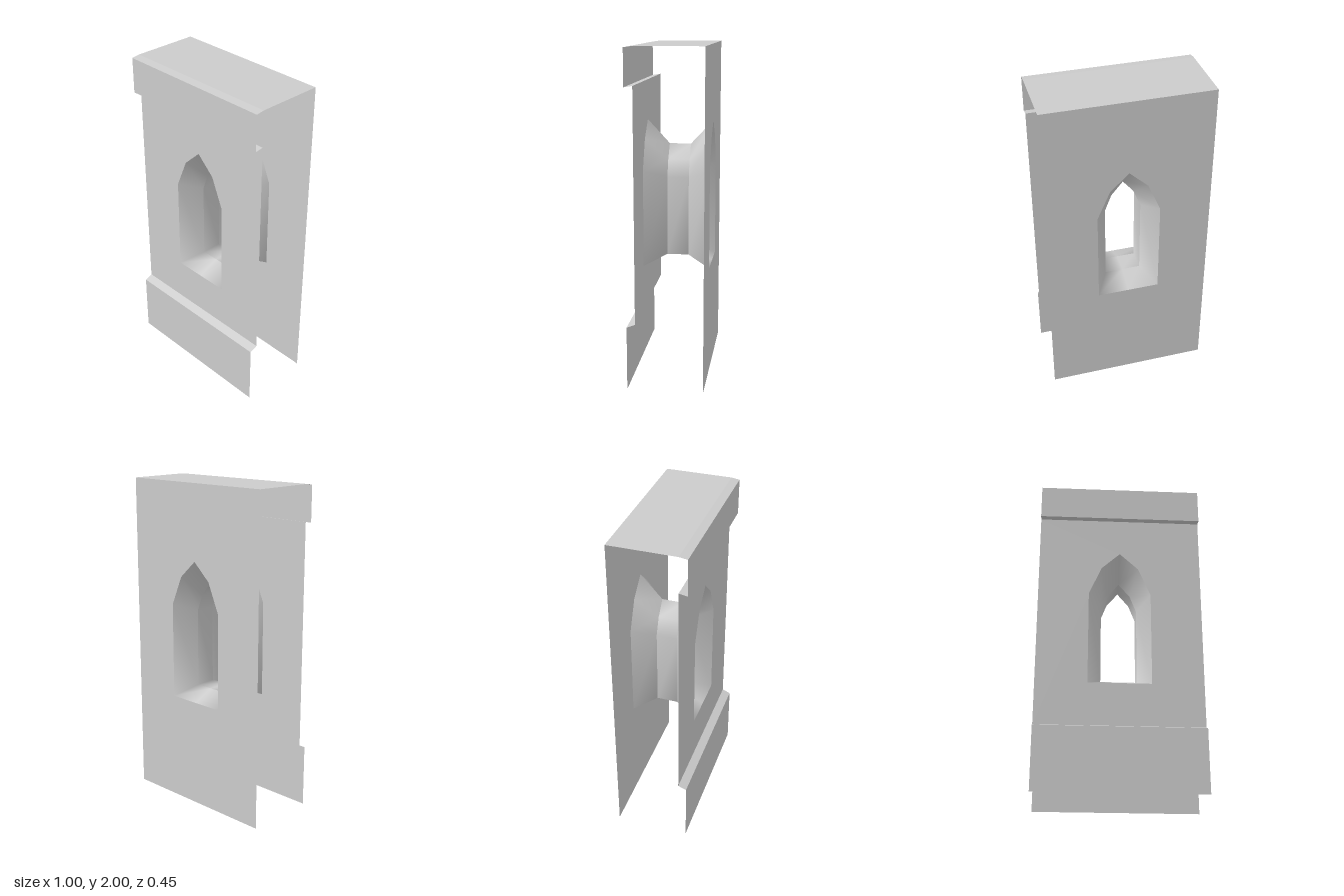
import * as THREE from 'three';

const HALF = 0.5, FRONT = 0.175, BACK = -0.225, PLINTH = 0.225;
const material = new THREE.MeshStandardMaterial({ color: 0xcccccc, side: THREE.DoubleSide });

// Right half of a pointed opening, from mid sill to apex, mirrored to a closed loop
function archLoop(half) {
  const left = half.slice(1, -1).reverse().map(([x, y]) => [-x, y]);
  return [...half, ...left];
}
const outer = archLoop([[0, 0.67], [0.19, 0.67], [0.19, 1.26], [0.113, 1.44], [0, 1.545]]);
const inner = archLoop([[0, 0.73], [0.11, 0.73], [0.11, 1.21], [0.07, 1.315], [0, 1.4]]);

function addMesh(group, name, geometry) {
  const mesh = new THREE.Mesh(geometry, material);
  mesh.name = name;
  group.add(mesh);
  return mesh;
}

// Flat-faced sheet: a [z, y] profile swept across the full width
function sweep(profile) {
  const pos = [];
  for (let i = 0; i < profile.length - 1; i++) {
    const [z0, y0] = profile[i], [z1, y1] = profile[i + 1];
    const a = [-HALF, y0, z0], b = [HALF, y0, z0], c = [HALF, y1, z1], d = [-HALF, y1, z1];
    pos.push(...a, ...b, ...c, ...a, ...c, ...d);
  }
  const g = new THREE.BufferGeometry();
  g.setAttribute('position', new THREE.Float32BufferAttribute(pos, 3));
  g.computeVertexNormals();
  return g;
}

// Smooth band joining two window outlines, facing into the opening
function band(loopA, zA, loopB, zB) {
  const n = loopA.length, index = [];
  const pos = [...loopA.map(([x, y]) => [x, y, zA]), ...loopB.map(([x, y]) => [x, y, zB])].flat();
  for (let i = 0; i < n; i++) {
    const j = (i + 1) % n;
    index.push(i, j, n + j, i, n + j, n + i);
  }
  const g = new THREE.BufferGeometry();
  g.setAttribute('position', new THREE.Float32BufferAttribute(pos, 3));
  g.setIndex(index);
  g.computeVertexNormals();
  return g;
}

// Rectangular wall sheet pierced by the window
function panel(y0, y1) {
  const toPoints = (list) => list.map(([x, y]) => new THREE.Vector2(x, y));
  const shape = new THREE.Shape(toPoints([[-HALF, y0], [HALF, y0], [HALF, y1], [-HALF, y1]]));
  shape.holes.push(new THREE.Path(toPoints(outer)));
  return new THREE.ShapeGeometry(shape);
}

export function createModel() {
  const group = new THREE.Group();
  group.name = 'windowWall';

  // Wall faces
  addMesh(group, 'frontWall', panel(0.405, 1.785)).position.z = FRONT;
  const back = addMesh(group, 'backWall', panel(0, 2));
  back.rotation.y = Math.PI;
  back.position.z = BACK;

  // Plinth with sloped ledge, and projecting top course with cap
  addMesh(group, 'plinth', sweep([[PLINTH, 0], [PLINTH, 0.385], [FRONT, 0.405]]));
  addMesh(group, 'topCourse', sweep([[FRONT, 1.785], [PLINTH, 1.777], [PLINTH, 1.993], [FRONT, 2], [BACK, 2]]));

  // Window reveals: splayed front, straight throat, splayed back
  addMesh(group, 'frontReveal', band(outer, FRONT, inner, 0.04));
  addMesh(group, 'windowThroat', band(inner, 0.04, inner, -0.09));
  addMesh(group, 'backReveal', band(inner, -0.09, outer, BACK));
  return group;
}
